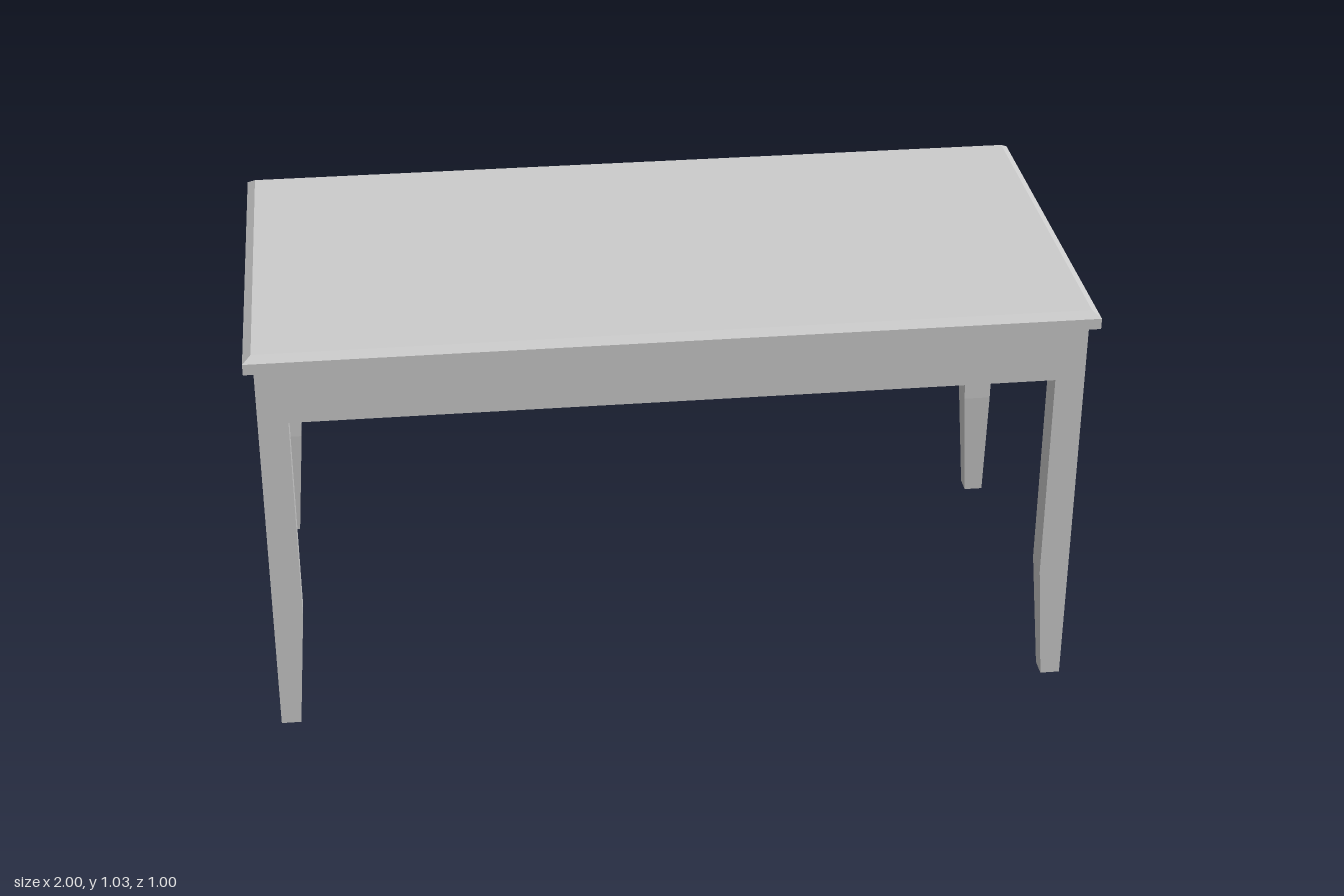
import * as THREE from 'three';

const material = new THREE.MeshStandardMaterial({ color: 0xcccccc, flatShading: true });

// Closed solid through stacked rectangles, bottom to top: [y, x0, x1, z0, z1]
function loft(rings) {
  const pos = [];
  const corners = rings.map(([y, x0, x1, z0, z1]) => [[x0, y, z1], [x1, y, z1], [x1, y, z0], [x0, y, z0]]);
  const quad = (a, b, c, d) => pos.push(...a, ...b, ...c, ...a, ...c, ...d);
  for (let r = 0; r < corners.length - 1; r++) {
    const lo = corners[r], hi = corners[r + 1];
    for (let i = 0; i < 4; i++) {
      const j = (i + 1) % 4;
      quad(lo[i], lo[j], hi[j], hi[i]);
    }
  }
  const [a, b, c, d] = corners[0];
  quad(d, c, b, a);
  quad(...corners[corners.length - 1]);
  const geometry = new THREE.BufferGeometry();
  geometry.setAttribute('position', new THREE.Float32BufferAttribute(pos, 3));
  geometry.computeVertexNormals();
  return geometry;
}

export function createModel() {
  const table = new THREE.Group();
  table.name = 'table';
  const add = (name, geometry, x = 0, y = 0, z = 0) => {
    const mesh = new THREE.Mesh(geometry, material);
    mesh.name = name;
    mesh.position.set(x, y, z);
    table.add(mesh);
  };

  const outX = 0.977, outZ = 0.478;   // outer faces of legs and aprons
  const legTop = 0.071, legFoot = 0.048;
  const underside = 0.988, apronBottom = 0.845, apronThick = 0.026;

  // Table top with a bevelled upper edge
  add('tableTop', loft([
    [underside, -1, 1, -0.5, 0.5],
    [1.015, -1, 1, -0.5, 0.5],
    [1.029, -0.98, 0.98, -0.48, 0.48],
  ]));

  // Legs: straight outside, tapering on the two inner faces near the foot
  for (const sx of [-1, 1]) {
    for (const sz of [-1, 1]) {
      const span = (s, out, w) => (s > 0 ? [out - w, out] : [-out, w - out]);
      const ring = (y, w) => [y, ...span(sx, outX, w), ...span(sz, outZ, w)];
      const name = (sz > 0 ? 'front' : 'back') + (sx > 0 ? 'Left' : 'Right') + 'Leg';
      add(name, loft([ring(0, legFoot), ring(0.305, legTop), ring(underside, legTop)]));
    }
  }

  // Aprons between the legs, flush with their outer faces
  const h = underside - apronBottom, y = apronBottom + h / 2;
  const longApron = new THREE.BoxGeometry(2 * (outX - legTop), h, apronThick);
  const shortApron = new THREE.BoxGeometry(apronThick, h, 2 * (outZ - legTop));
  for (const s of [-1, 1]) {
    add(s > 0 ? 'frontApron' : 'backApron', longApron, 0, y, s * (outZ - apronThick / 2));
    add(s > 0 ? 'leftApron' : 'rightApron', shortApron, s * (outX - apronThick / 2), y, 0);
  }
  return table;
}
